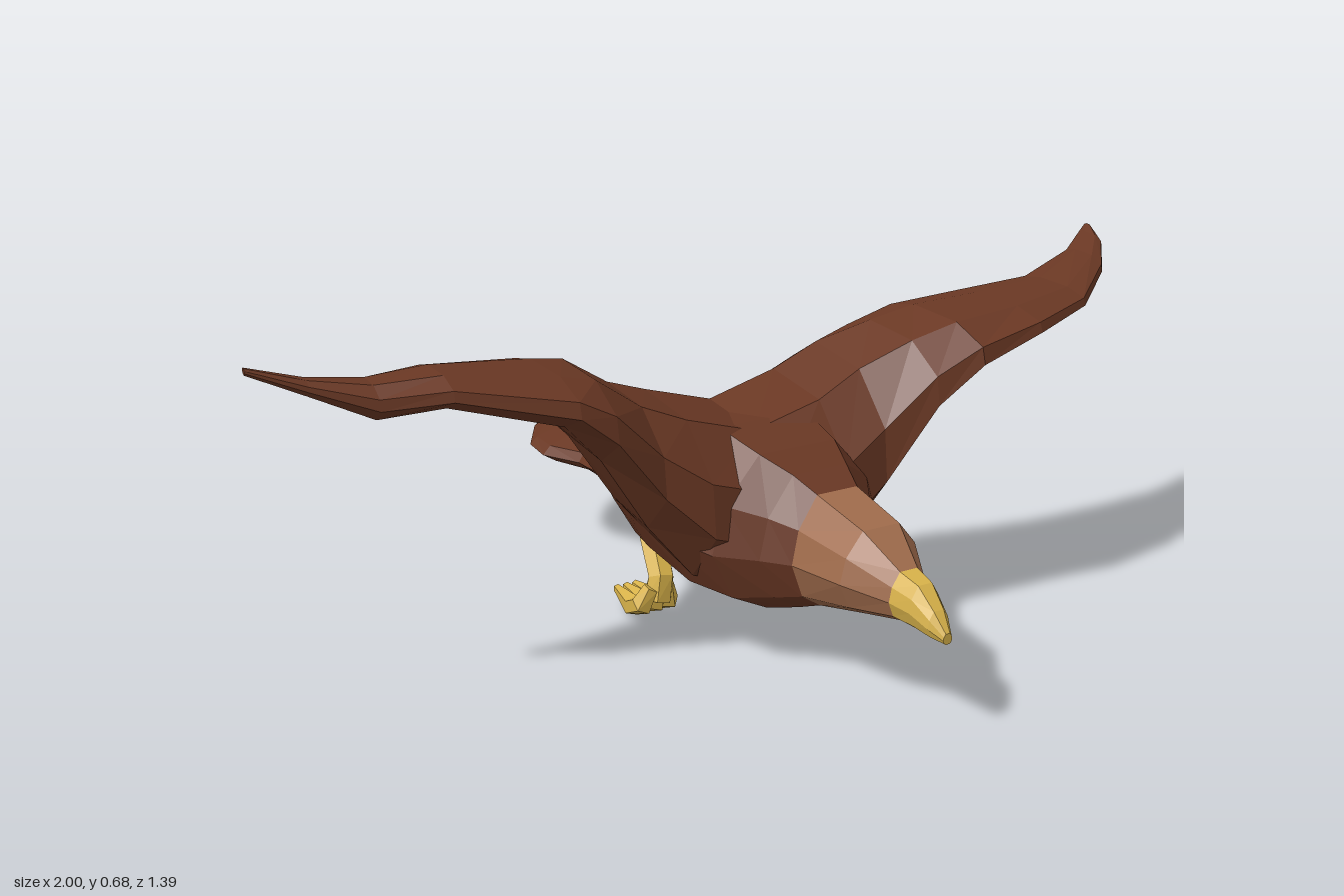
import * as THREE from 'three';

const paint = (name, color) => {
  const m = new THREE.MeshStandardMaterial({ color });
  m.name = name;
  m.flatShading = true;
  return m;
};

// Skin a list of equal-sized closed rings of [x, y, z], capped at both ends
function loft(rings) {
  const pos = [];
  const tri = (a, b, c) => pos.push(...a, ...b, ...c);
  const n = rings[0].length;
  for (let i = 0; i < rings.length - 1; i++) {
    for (let j = 0; j < n; j++) {
      const k = (j + 1) % n;
      const a = rings[i][j], b = rings[i][k], c = rings[i + 1][k], d = rings[i + 1][j];
      tri(a, b, c);
      tri(a, c, d);
    }
  }
  const first = rings[0], last = rings[rings.length - 1];
  for (let j = 1; j < n - 1; j++) {
    tri(first[0], first[j + 1], first[j]);
    tri(last[0], last[j], last[j + 1]);
  }
  // Turn the faces outward if the enclosed volume is negative
  let volume = 0;
  const v = (i) => new THREE.Vector3(pos[i], pos[i + 1], pos[i + 2]);
  for (let i = 0; i < pos.length; i += 9) volume += v(i).dot(v(i + 3).cross(v(i + 6)));
  if (volume < 0) {
    for (let i = 0; i < pos.length; i += 9) {
      for (let k = 0; k < 3; k++) [pos[i + 3 + k], pos[i + 6 + k]] = [pos[i + 6 + k], pos[i + 3 + k]];
    }
  }
  const g = new THREE.BufferGeometry();
  g.setAttribute('position', new THREE.Float32BufferAttribute(pos, 3));
  g.computeVertexNormals();
  return g;
}

// Cross-section of the trunk: [z, centre x, half width, top, bottom]
const TRUNK = [[0.45, 1], [0.86, 0.72], [1, 0.42], [0.76, 0.12], [0.35, 0],
  [-0.35, 0], [-0.76, 0.12], [-1, 0.42], [-0.86, 0.72], [-0.45, 1]];
const trunkRing = ([z, cx, hw, top, bot]) =>
  TRUNK.map(([u, t]) => [cx + u * hw, bot + t * (top - bot), z]);

// Cross-section of the wings: [x, front z, back z, top, bottom]
const WING = [[1, 0.3], [0.97, 0.62], [0.7, 0.93], [0.25, 1], [0, 0.85], [0.02, 0.5], [0.3, 0.1], [0.75, 0]];
const wingRing = ([x, zf, zb, top, bot]) =>
  WING.map(([u, t]) => [x, bot + t * (top - bot), zb + u * (zf - zb)]);

// Tapering limb along points of [x, y, z, radius]
function limb(path, sides = 6) {
  return loft(path.map(([x, y, z, r], i) => {
    const a = path[Math.max(i - 1, 0)], b = path[Math.min(i + 1, path.length - 1)];
    const dir = new THREE.Vector3(b[0] - a[0], b[1] - a[1], b[2] - a[2]).normalize();
    const side = new THREE.Vector3(1, 0, 0);
    const up = new THREE.Vector3().crossVectors(dir, side).normalize();
    side.crossVectors(up, dir);
    return Array.from({ length: sides }, (_, k) => {
      const t = (k / sides) * Math.PI * 2;
      return new THREE.Vector3(x, y, z)
        .addScaledVector(side, Math.cos(t) * r)
        .addScaledVector(up, Math.sin(t) * r).toArray();
    });
  }));
}

export function createModel() {
  const group = new THREE.Group();
  const brown = paint('brown feathers', 0x6a3824);
  const tan = paint('tan head feathers', 0xa06c4c);
  const yellow = paint('yellow beak and feet', 0xd8b24a);
  const add = (name, geometry, material, parent = group) => {
    const mesh = new THREE.Mesh(geometry, material);
    mesh.name = name;
    parent.add(mesh);
    return mesh;
  };

  const neck = [0.365, 0, 0.1, 0.365, 0.145];
  const beakBase = [0.583, 0, 0.043, 0.28, 0.187];

  // Body and fanned tail
  add('body', loft([
    neck,
    [0.31, 0, 0.135, 0.39, 0.125],
    [0.25, -0.01, 0.19, 0.42, 0.11],
    [0.15, -0.02, 0.22, 0.45, 0.115],
    [0, -0.02, 0.22, 0.45, 0.14],
    [-0.08, -0.02, 0.2, 0.415, 0.15],
    [-0.19, -0.02, 0.165, 0.36, 0.21],
    [-0.33, -0.022, 0.115, 0.285, 0.205],
    [-0.4, -0.023, 0.097, 0.265, 0.2],
    [-0.5, -0.025, 0.127, 0.258, 0.197],
    [-0.57, -0.022, 0.124, 0.256, 0.206],
    [-0.655, -0.02, 0.07, 0.25, 0.228],
    [-0.695, -0.02, 0.02, 0.248, 0.24],
  ].map(trunkRing)), brown);

  // Head and hooked beak
  add('head', loft([neck, [0.5, 0, 0.09, 0.335, 0.175], beakBase].map(trunkRing)), tan);
  add('beak', loft([
    beakBase,
    [0.63, 0, 0.034, 0.268, 0.185],
    [0.67, 0, 0.024, 0.232, 0.18],
    [0.697, 0, 0.01, 0.198, 0.178],
  ].map(trunkRing)), yellow);

  // Both wings as one span, beating slightly unevenly
  add('wings', loft([
    [-1, 0.06, 0.05, 0.68, 0.667],
    [-0.9, 0.09, 0.05, 0.65, 0.62],
    [-0.79, 0.13, 0.04, 0.633, 0.567],
    [-0.67, 0.17, 0.025, 0.637, 0.575],
    [-0.46, 0.237, -0.02, 0.612, 0.515],
    [-0.39, 0.245, -0.03, 0.6, 0.44],
    [-0.29, 0.24, -0.045, 0.537, 0.29],
    [-0.2, 0.265, -0.07, 0.505, 0.18],
    [-0.05, 0.27, -0.08, 0.46, 0.13],
    [0.1, 0.27, -0.08, 0.498, 0.14],
    [0.2, 0.255, -0.07, 0.54, 0.215],
    [0.3, 0.285, -0.02, 0.58, 0.405],
    [0.39, 0.31, 0.005, 0.605, 0.5],
    [0.56, 0.28, 0.015, 0.608, 0.547],
    [0.745, 0.2, 0.01, 0.61, 0.565],
    [0.9, 0.08, -0.035, 0.64, 0.593],
    [0.97, 0, -0.075, 0.662, 0.628],
    [0.995, -0.06, -0.085, 0.673, 0.655],
  ].map(wingRing)), brown);

  // Legs with three curled toes each
  for (const [name, s, dx, dy] of [['left', 1, 0, 0], ['right', -1, 0.035, -0.015]]) {
    const foot = new THREE.Group();
    foot.name = `${name}Foot`;
    group.add(foot);
    add(`${name}Leg`, limb([
      [s * (0.075 + dx), 0.2, -0.1, 0.028],
      [s * (0.08 + dx), 0.15, -0.105, 0.03],
      [s * (0.095 + dx), 0.1 + dy, -0.05, 0.028],
      [s * (0.105 + dx), 0.055 + dy, -0.05, 0.03],
    ]), yellow, foot);
    for (const spread of [-0.03, 0, 0.03]) {
      const x = s * (0.11 + dx + spread);
      add(`${name}Toe`, limb([
        [s * (0.105 + dx + spread * 0.6), 0.085 + dy, -0.042, 0.016],
        [x, 0.05 + dy, -0.05, 0.023],
        [x, 0.036 + dy, -0.085, 0.022],
        [s * (0.115 + dx + spread * 0.7), 0.05 + dy, -0.158, 0.008],
      ], 5), yellow, foot);
    }
  }
  return group;
}
